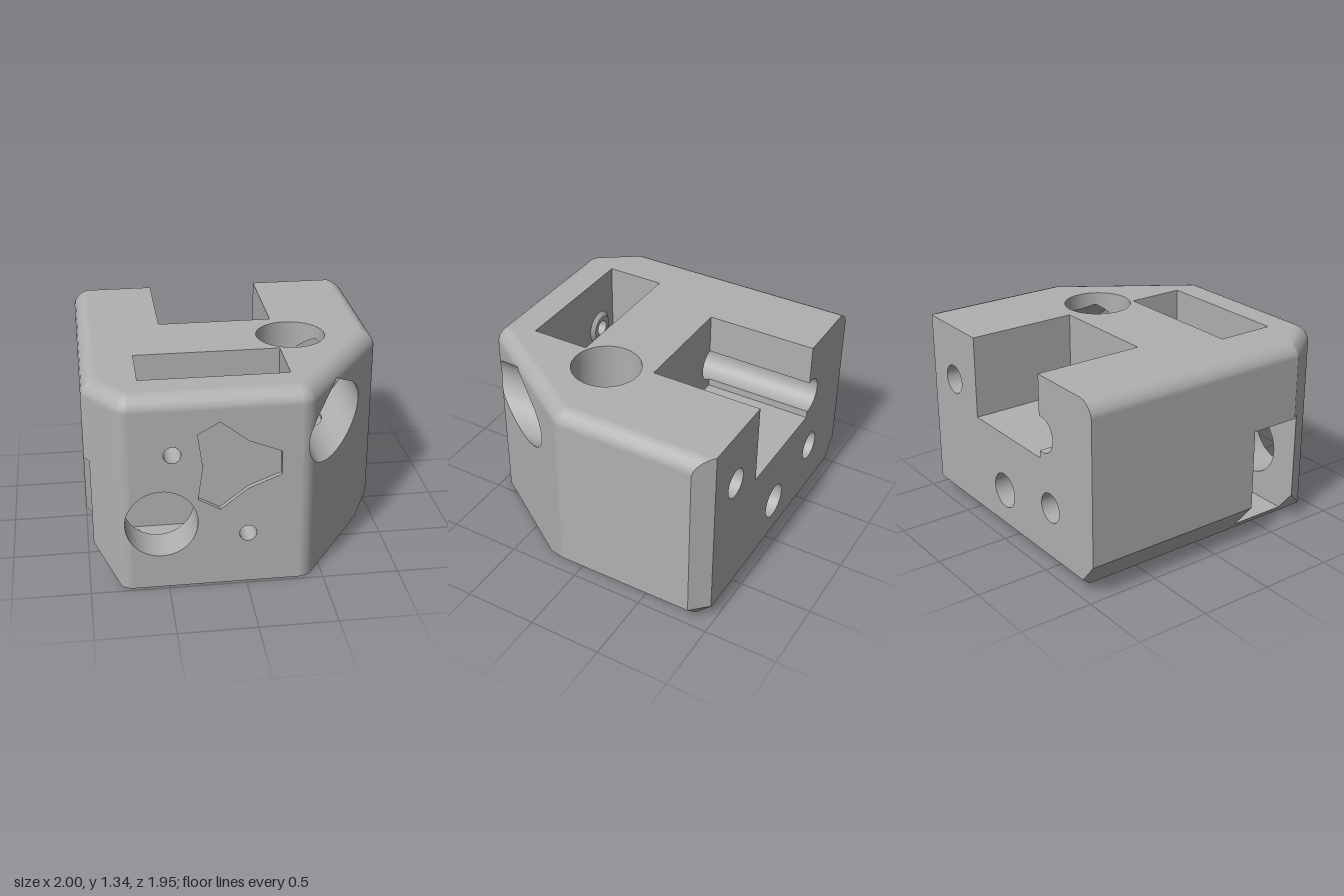
import * as THREE from 'three';

// Every solid here is convex and described by its bounding planes (n . p <= d).
// The housing is one convex block with convex cutters taken out of it.
const plane = (x, y, z, d) => {
  const n = new THREE.Vector3(x, y, z), l = n.length();
  return { n: n.divideScalar(l), d: d / l };
};

// Splits a convex polygon of {p, n} corners into [inside, outside] of a plane
function split(poly, pl, e) {
  const parts = [[], []];
  poly.forEach((a, i) => {
    const b = poly[(i + 1) % poly.length];
    const da = pl.n.dot(a.p) - pl.d - e, db = pl.n.dot(b.p) - pl.d - e;
    parts[da > 0 ? 1 : 0].push(a);
    if ((da > 0) !== (db > 0)) {
      const t = da / (da - db);
      const v = { p: a.p.clone().lerp(b.p, t), n: a.n.clone().lerp(b.n, t).normalize() };
      parts[0].push(v);
      parts[1].push(v);
    }
  });
  return parts.map((q) => (q.length > 2 ? q : []));
}

function areaOf(poly) {
  const sum = new THREE.Vector3(), a = new THREE.Vector3(), b = new THREE.Vector3();
  for (let i = 1; i + 1 < poly.length; i++) {
    a.subVectors(poly[i].p, poly[0].p);
    b.subVectors(poly[i + 1].p, poly[0].p);
    sum.add(a.cross(b));
  }
  return sum.length() / 2;
}

const keepInside = (poly, planes, e) =>
  planes.reduce((q, pl) => (q.length ? split(q, pl, e)[0] : q), poly);

// Parts of a polygon that lie outside a convex solid
function keepOutside(poly, planes, e) {
  const out = [];
  let rest = poly;
  for (const pl of planes) {
    const [inside, outside] = split(rest, pl, e);
    if (outside.length) out.push(outside);
    rest = inside;
    if (!rest.length) return [poly];
  }
  return areaOf(rest) < 1e-9 ? [poly] : out;
}

// Faces of a convex solid, with normals smoothed over gentle bends
function facesOf(planes) {
  const faces = [];
  for (const pl of planes) {
    const u = new THREE.Vector3(0, 1, 0);
    if (Math.abs(pl.n.y) > 0.9) u.set(1, 0, 0);
    u.cross(pl.n).normalize();
    const v = pl.n.clone().cross(u);
    const quad = [[1, 1], [-1, 1], [-1, -1], [1, -1]].map(([i, j]) => ({
      p: pl.n.clone().multiplyScalar(pl.d).addScaledVector(u, 6 * i).addScaledVector(v, 6 * j),
      n: pl.n.clone(),
    }));
    const poly = keepInside(quad, planes.filter((o) => o !== pl), 1e-7);
    const area = areaOf(poly);
    if (area > 1e-8) faces.push({ poly, area, n: pl.n });
  }
  for (const f of faces) for (const c of f.poly) {
    const sum = new THREE.Vector3();
    for (const g of faces) {
      if (g.n.dot(f.n) > 0.93 && g.poly.some((o) => o.p.distanceToSquared(c.p) < 1e-8)) {
        sum.addScaledVector(g.n, g.area);
      }
    }
    c.n = sum.normalize();
  }
  return faces.map((f) => f.poly);
}

const box = (x0, x1, y0, y1, z0, z1) => [
  plane(-1, 0, 0, -x0), plane(1, 0, 0, x1), plane(0, -1, 0, -y0),
  plane(0, 1, 0, y1), plane(0, 0, -1, -z0), plane(0, 0, 1, z1),
];

// Round bore along z; gap (degrees) leaves out the planes round the top, giving a teardrop
function boreZ(x, y, r, z0, z1, gap = 0) {
  const out = [plane(0, 0, -1, -z0), plane(0, 0, 1, z1)];
  for (let a = 0; a < 360; a += 10) {
    if (Math.abs(a - 90) < gap) continue;
    const c = Math.cos(a * Math.PI / 180), s = Math.sin(a * Math.PI / 180);
    out.push(plane(c, s, 0, c * x + s * y + r));
  }
  return out;
}

function boreY(x, z, r, y0, y1) {
  return boreZ(x, z, r, y0, y1).map(({ n, d }) => plane(n.x, n.z, n.y, d));
}

// Outer block: plan corners [x, z, rounded], with filleted top and chamfered foot
function blockPlanes() {
  const H = 1.335, R = 0.12, back = -0.977;
  const corners = [[1, -0.867], [1, 0.09, 1], [0.4, 0.977, 1], [-0.78, 0.977, 1],
    [-1, 0.66], [-1, back], [0.89, back]];
  const normals = corners.map(([x, z], i) => {
    const [x2, z2] = corners[(i + 1) % corners.length];
    return new THREE.Vector2(z2 - z, x - x2).normalize();
  });
  const out = [plane(0, 1, 0, H), plane(0, -1, 0, 0)];
  const wall = (n, d, fillet) => {
    for (let k = 0; k < (fillet ? 6 : 1); k++) {
      const c = Math.cos(k * Math.PI / 12), s = Math.sin(k * Math.PI / 12);
      out.push(plane(n.x * c, s, n.y * c, (d - R) * c + (fillet ? (H - R) * s : 0) + R));
    }
  };
  corners.forEach(([x, z, rounded], i) => {
    const p = new THREE.Vector2(x, z), n = normals[i];
    wall(n, n.dot(p), i < 5);
    if (!rounded) return;
    const m = normals[i - 1];
    const centre = p.clone().addScaledVector(m.clone().add(n), -R / (1 + m.dot(n)));
    for (let k = 1; k < 6; k++) {
      const a = m.clone().lerp(n, k / 6).normalize();
      wall(a, a.dot(centre) + R, true);
    }
  });
  out.push(plane(1, -1, 0, 0.88), plane(0, -1, -1, 0.867), plane(1, -1, -1, 1.747));
  out.push(plane(-0.245, -0.2, 0, 0.196));
  return out;
}

// One arm of the shallow three-armed recess on the front
function recessArm(turn) {
  const at = (x, y) => {
    const c = Math.cos(turn), s = Math.sin(turn);
    return [-0.085 + x * c - y * s, 0.845 + x * s + y * c];
  };
  const pts = [at(0.095, -0.165), at(0.305, -0.08), at(0.305, 0.08), at(0.095, 0.165), at(-0.19, 0)];
  const sides = pts.map(([x, y], i) => {
    const [x2, y2] = pts[(i + 1) % 5];
    return plane(y2 - y, x - x2, 0, (y2 - y) * x + (x - x2) * y);
  });
  return [plane(0, 0, -1, -0.945), plane(0, 0, 1, 1.2), ...sides];
}

// Pulley pocket open at the top, its lower inner corner following the pulley
function pulleyPocket() {
  const out = [plane(-1, 0, 0, 0.65), plane(0, 1, 0, 1.5), plane(0, 0, -1, -0.31), plane(0, 0, 1, 0.71)];
  for (let a = 0; a <= 90; a += 10) {
    const c = Math.cos(a * Math.PI / 180), s = -Math.sin(a * Math.PI / 180);
    out.push(plane(c, s, 0, c * 0.01 + s * 0.36 + 0.3));
  }
  return out;
}

function meshOf(name, polys, material) {
  const pos = [], nor = [];
  for (const q of polys) {
    for (let i = 1; i + 1 < q.length; i++) {
      for (const c of [q[0], q[i], q[i + 1]]) {
        pos.push(...c.p.toArray());
        nor.push(...c.n.toArray());
      }
    }
  }
  const g = new THREE.BufferGeometry();
  g.setAttribute('position', new THREE.Float32BufferAttribute(pos, 3));
  g.setAttribute('normal', new THREE.Float32BufferAttribute(nor, 3));
  const mesh = new THREE.Mesh(g, material);
  mesh.name = name;
  return mesh;
}

export function createModel() {
  const group = new THREE.Group();
  const grey = new THREE.MeshStandardMaterial({ color: 0xb0b0b0 });
  grey.name = 'plain grey';

  const block = blockPlanes();
  const cutters = [
    ['rearSlot', box(-0.44, 0.33, 0.77, 1.5, -1.2, -0.22)],
    ['pulleyPocket', pulleyPocket()],
    ['sideChannel', box(-1.3, 0, 0.06, 0.8, 0.31, 0.71)],
    ['teardropPocket', boreZ(0.62, 0.95, 0.23, -0.2, 1.3, 39)],
    ['teardropBoltHole', boreZ(0.62, 0.95, 0.1, -1.2, 0)],
    ['topCounterbore', boreY(0.42, 0.08, 0.23, 0.7, 1.5)],
    ['topBoltHole', boreY(0.42, 0.08, 0.1, -0.2, 0.75)],
    ['frontCounterbore', boreZ(-0.54, 0.46, 0.23, 0.6, 1.2)],
    ['frontBoltHole', boreZ(-0.54, 0.46, 0.1, -1.2, 0.4)],
  ];
  // Pulley axle holes, widened at the back
  const axles = [[-0.465, 0.94], [0.01, 0.355]];
  for (const [x, y] of axles) {
    cutters.push(['axleHole', boreZ(x, y, 0.055, -1.15, 1.2)]);
    cutters.push(['axleCounterbore', boreZ(x, y, 0.12, -1.2, -0.1)]);
  }
  for (let k = 0; k < 3; k++) cutters.push(['frontRecess', recessArm(k * Math.PI * 2 / 3)]);

  // Outer skin with every opening removed
  let skin = facesOf(block);
  for (const [, c] of cutters) skin = skin.flatMap((q) => keepOutside(q, c, 1e-6));
  group.add(meshOf('housing', skin, grey));

  // Inner walls: each cutter's faces turned inward, trimmed to the block and the other cutters
  cutters.forEach(([name, c], i) => {
    let walls = facesOf(c).map((q) => keepInside(q, block, 0)).filter((q) => q.length);
    cutters.forEach(([, o], j) => {
      if (j !== i) walls = walls.flatMap((q) => keepOutside(q, o, j < i ? 1e-5 : -1e-5));
    });
    walls = walls.map((q) => q.map((v) => ({ p: v.p, n: v.n.clone().negate() })).reverse());
    group.add(meshOf(name, walls, grey));
  });

  // Raised conical rings round the axle holes, on both pocket walls
  const profile = [[0.12, 0], [0.09, 0.025], [0.055, 0.025], [0.055, 0]];
  for (const [x, y] of axles) {
    for (const side of [1, -1]) {
      const ring = new THREE.LatheGeometry(profile.map(([r, h]) => new THREE.Vector2(r, h)), 36);
      const boss = new THREE.Mesh(ring.toNonIndexed(), grey);
      boss.geometry.computeVertexNormals();
      boss.name = 'axleBoss';
      boss.rotation.x = side * Math.PI / 2;
      boss.position.set(x, y, side > 0 ? 0.31 : 0.71);
      group.add(boss);
    }
  }
  return group;
}
